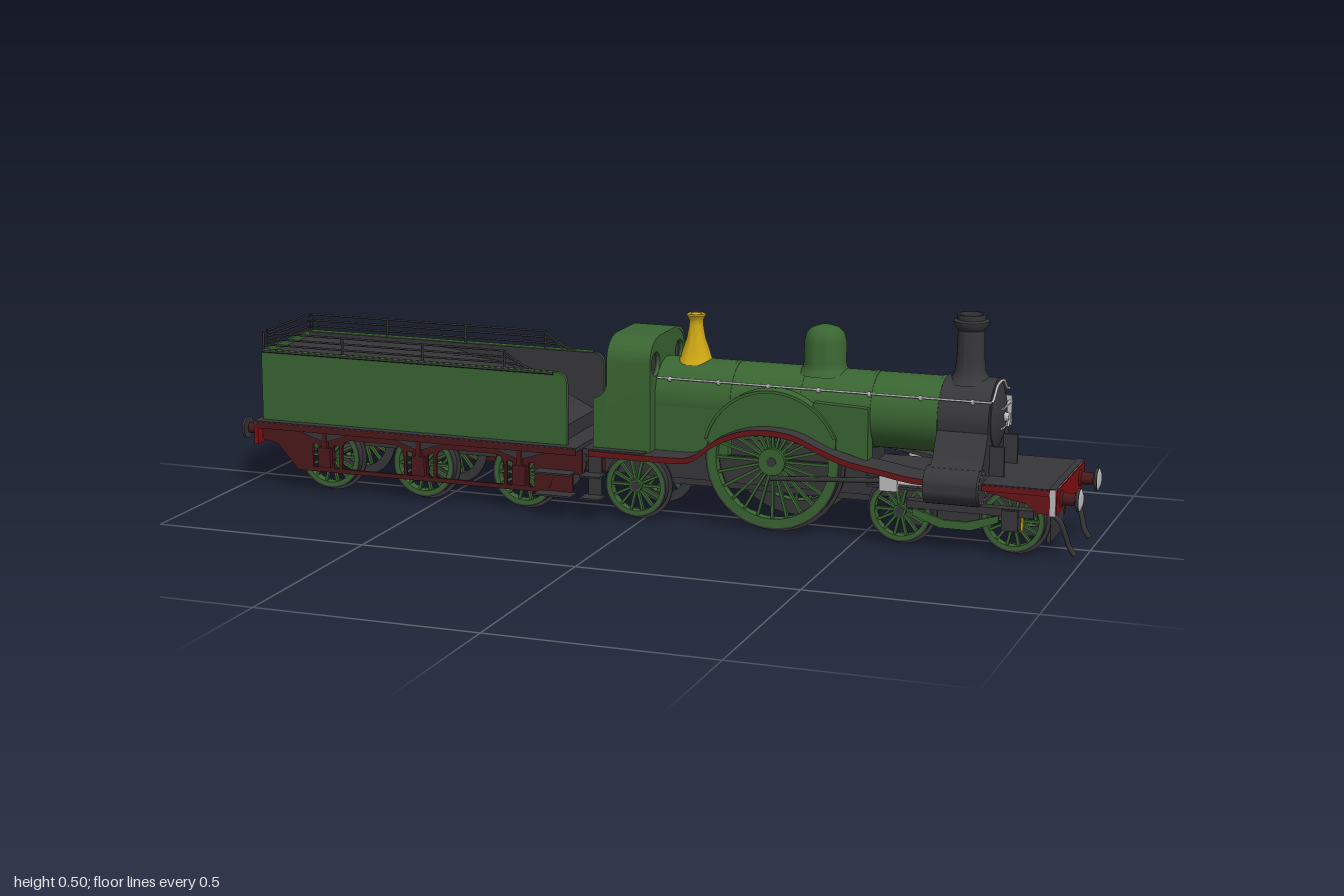
import * as THREE from 'three';
import { toCreasedNormals } from 'three/addons/utils/BufferGeometryUtils.js';

const mat = (name, color, side = THREE.FrontSide) => {
  const m = new THREE.MeshStandardMaterial({ color, side });
  m.name = name;
  return m;
};
const V2 = (x, y) => new THREE.Vector2(x, y);
const V3 = (x, y, z) => new THREE.Vector3(x, y, z);

export function createModel() {
  const green = mat('green paint', 0x3a6532), black = mat('soft black', 0x37373a, THREE.DoubleSide);
  const red = mat('beam red', 0x850d12), maroon = mat('frame maroon', 0x4b191b), lining = mat('lining red', 0x6a1519);
  const brass = mat('brass', 0xcfa815), steel = mat('bright steel', 0xbebebe);
  const root = new THREE.Group();
  root.name = 'steamLocomotiveAndTender';

  // helpers
  const add = (name, geo, m, x = 0, y = 0, z = 0, parent = root) => {
    const mesh = new THREE.Mesh(geo, m);
    mesh.name = name;
    mesh.position.set(x, y, z);
    parent.add(mesh);
    return mesh;
  };
  // box given by its limits
  const box = (name, m, x0, x1, y0, y1, z0, z1) =>
    add(name, new THREE.BoxGeometry(x1 - x0, y1 - y0, Math.abs(z1 - z0)), m, (x0 + x1) / 2, (y0 + y1) / 2, (z0 + z1) / 2);
  const both = f => [1, -1].forEach(f);
  const extrude = (shape, depth) =>
    toCreasedNormals(new THREE.ExtrudeGeometry(shape, { depth, bevelEnabled: false, curveSegments: 20 }), 0.6);
  // side profile (x, y) between two distances from the centre line, on side s
  const plate = (name, m, shape, z0, z1, s) => add(name, extrude(shape, z1 - z0), m, 0, 0, s > 0 ? z0 : -z1);
  // cross-section (z, y) swept along x
  const section = (name, m, shape, x0, x1) => add(name, extrude(shape, x1 - x0).rotateY(Math.PI / 2), m, x0);
  const lathe = (pts, n = 32) => toCreasedNormals(new THREE.LatheGeometry(pts.map(p => V2(...p)), n), 0.6);
  const latheX = (pts, n) => lathe(pts, n).rotateZ(-Math.PI / 2);
  const tube = (name, m, pts, r, straight) => {
    let path = new THREE.CatmullRomCurve3(pts.map(p => V3(...p)));
    if (straight) {
      path = new THREE.CurvePath();
      for (let i = 1; i < pts.length; i++) path.add(new THREE.LineCurve3(V3(...pts[i - 1]), V3(...pts[i])));
    }
    return add(name, new THREE.TubeGeometry(path, straight ? pts.length * 8 : 28, r, 6), m);
  };
  const poly = pts => new THREE.Shape(pts.map(p => V2(...p)));

  // spoked wheel pair on an axle
  const wheelSet = (name, x, r, spokes) => {
    const g = new THREE.Group();
    g.name = name;
    g.position.set(x, r + 0.01, 0);
    root.add(g);
    both(s => {
      const w = r * 0.13 + 0.004;
      const ring = (ro, ri, d) => {
        const sh = new THREE.Shape().absarc(0, 0, ro, 0, Math.PI * 2);
        sh.holes.push(new THREE.Path().absarc(0, 0, ri, 0, Math.PI * 2, true));
        return extrude(sh, d);
      };
      add('tyre', ring(r, r - 0.004, 0.02), black, 0, 0, s > 0 ? 0.08 : -0.1, g);
      add('rim', ring(r - 0.004, r - w, 0.02), green, 0, 0, s > 0 ? 0.08 : -0.1, g);
      add('flange', ring(r + 0.008, r - w, 0.005), black, 0, 0, s > 0 ? 0.074 : -0.079, g);
      add('hub', new THREE.CylinderGeometry(r * 0.2, r * 0.2, 0.028, 20).rotateX(Math.PI / 2), green, 0, 0, s * 0.09, g);
      for (let i = 0; i < spokes; i++) {
        const a = i / spokes * Math.PI * 2, len = r * 0.68;
        const sp = add('spoke', new THREE.BoxGeometry(len, 0.006, 0.009), green,
          Math.cos(a) * r * 0.52, Math.sin(a) * r * 0.52, s * 0.09, g);
        sp.rotation.z = a;
      }
    });
    add('axle', new THREE.CylinderGeometry(0.011, 0.011, 0.21, 12).rotateX(Math.PI / 2), black, 0, 0, 0, g);
  };
  const tenderAxles = [-0.776, -0.536, -0.285];
  tenderAxles.forEach(x => wheelSet('tenderWheels', x, 0.076, 14));
  wheelSet('trailingWheels', -0.013, 0.072, 14);
  wheelSet('drivingWheels', 0.307, 0.154, 24);
  [0.6, 0.85].forEach(x => wheelSet('bogieWheels', x, 0.07, 14));

  // boiler, domed smokebox door, chimney, dome, safety valve
  add('boiler', new THREE.CylinderGeometry(0.084, 0.084, 0.66, 48).rotateZ(Math.PI / 2), green, 0.35, 0.28);
  [0.2, 0.36, 0.52, 0.67].forEach(x =>
    add('boilerBand', new THREE.CylinderGeometry(0.0855, 0.0855, 0.008, 48).rotateZ(Math.PI / 2), green, x, 0.28));
  box('firebox', green, 0.02, 0.2, 0.165, 0.28, -0.083, 0.083);
  const smoke = new THREE.Shape();
  smoke.moveTo(-0.145, 0.165);
  smoke.lineTo(0.145, 0.165);
  smoke.lineTo(0.145, 0.195);
  smoke.bezierCurveTo(0.115, 0.2, 0.11, 0.235, 0.087, 0.262);
  smoke.absarc(0, 0.28, 0.088, -0.2, Math.PI + 0.2);
  smoke.bezierCurveTo(-0.11, 0.235, -0.115, 0.2, -0.145, 0.195);
  section('smokebox', black, smoke, 0.675, 0.788);
  add('smokeboxDoor', latheX([[0.074, 0], [0.072, 0.004], [0.05, 0.012], [0.025, 0.017], [0, 0.018]], 40), black, 0.786, 0.286);
  add('chimney', lathe([[0.055, 0], [0.042, 0.008], [0.034, 0.025], [0.031, 0.05], [0.029, 0.115], [0.038, 0.127],
    [0.039, 0.135], [0.031, 0.138], [0.031, 0.15], [0.026, 0.15], [0.022, 0.08], [0, 0.08]]), black, 0.725, 0.356);
  add('steamDome', lathe([[0.062, 0], [0.05, 0.012], [0.047, 0.025], [0.047, 0.072], [0.042, 0.09], [0.03, 0.102],
    [0.015, 0.107], [0, 0.108]]), green, 0.397, 0.352);
  add('safetyValve', lathe([[0.042, 0], [0.035, 0.012], [0.03, 0.03], [0.021, 0.055], [0.016, 0.085], [0.016, 0.096],
    [0.022, 0.107], [0.02, 0.11], [0.012, 0.11], [0, 0.1]], 24), brass, 0.095, 0.355);

  // door hinges, handle and handrails
  [0.262, 0.305].forEach(y => box('doorStrap', steel, 0.798, 0.805, y - 0.002, y + 0.002, -0.07, 0.026));
  box('hingePost', steel, 0.79, 0.803, 0.25, 0.317, -0.072, -0.068);
  add('doorHandle', latheX([[0.01, 0], [0.01, 0.012], [0, 0.015]], 16), steel, 0.802, 0.284);
  tube('doorLever', steel, [[0.814, 0.284, 0], [0.814, 0.265, 0.013]], 0.003, true);
  tube('frontHandrail', steel, [[0.793, 0.33, 0.081], [0.793, 0.336, 0.062], [0.793, 0.357, 0.032], [0.793, 0.361, 0],
    [0.793, 0.357, -0.032], [0.793, 0.336, -0.062], [0.793, 0.33, -0.081]], 0.003);
  both(s => {
    tube('boilerHandrail', steel, [[0.03, 0.33, s * 0.08], [0.793, 0.33, s * 0.08]], 0.0026, true);
    for (let i = 0; i < 7; i++) add('handrailKnob', new THREE.SphereGeometry(0.006, 8, 6), steel, 0.06 + i * 0.115, 0.328, s * 0.077);
  });

  // running plate rising over the driving wheel, with red edge
  const edge = new THREE.CatmullRomCurve3([[-0.11, 0.165], [0.08, 0.165], [0.13, 0.17], [0.19, 0.213], [0.25, 0.238], [0.31, 0.245],
    [0.37, 0.238], [0.43, 0.213], [0.49, 0.192], [0.57, 0.178], [0.64, 0.167], [0.79, 0.165], [0.945, 0.165]]
    .map(p => V3(p[0], p[1], 0))).getPoints(60).map(p => [p.x, p.y]);
  const strip = t => poly([...edge, ...edge.slice().reverse().map(p => [p[0], p[1] - t])].reverse());
  const arch = edge.filter(p => p[0] > 0.165 && p[0] < 0.455);
  const crown = [];
  for (let i = 0; i <= 24; i++) {
    const a = 0.4 + i / 24 * (Math.PI - 0.65);
    crown.push([0.307 + Math.cos(a) * 0.16, 0.168 + Math.sin(a) * 0.158]);
  }
  const crownInner = crown.map(p => [0.307 + (p[0] - 0.307) * 0.96, 0.168 + (p[1] - 0.168) * 0.96]).reverse();
  both(s => {
    plate('runningPlate', black, strip(0.008), 0.065, 0.1435, s);
    plate('runningPlateEdge', lining, strip(0.013), 0.1435, 0.1455, s);
    plate('splasher', green, poly([...arch, ...crown]), 0.068, 0.106, s);
    plate('splasherRim', green, poly([...crown, ...crownInner]), 0.068, 0.109, s);
    plate('splasherBox', green, poly([[0.4, 0.225], [0.45, 0.205], [0.525, 0.184], [0.525, 0.3], [0.4, 0.305]]), 0.06, 0.1, s);
    // cylinders, covers with bolts, slide bars and rods
    add('cylinder', latheX([[0, 0], [0.041, 0], [0.041, 0.118], [0.038, 0.122], [0, 0.122]], 28), black, 0.668, 0.155, s * 0.135);
    for (let i = 0; i < 12; i++) {
      const a = i / 12 * Math.PI * 2;
      add('coverBolt', new THREE.SphereGeometry(0.0024, 6, 4), steel, 0.79, 0.155 + Math.sin(a) * 0.033, s * (0.135 + Math.cos(a) * 0.033));
    }
    [0.134, 0.158].forEach(y => box('slideBar', black, 0.53, 0.67, y, y + 0.006, s * 0.112, s * 0.126));
    box('crosshead', steel, 0.562, 0.602, 0.13, 0.163, s * 0.11, s * 0.135);
    tube('pistonRod', steel, [[0.58, 0.149, s * 0.125], [0.67, 0.149, s * 0.125]], 0.005, true);
    tube('connectingRod', black, [[0.58, 0.15, s * 0.118], [0.307, 0.13, s * 0.112]], 0.006, true);
  });

  // locomotive frames and bogie
  box('mainFrame', black, -0.1, 0.93, 0.1, 0.163, -0.066, 0.066);
  box('ashpan', black, 0.05, 0.52, 0.085, 0.2, -0.06, 0.06);
  box('bogieFrame', black, 0.66, 0.79, 0.045, 0.1, -0.066, 0.066);
  box('frontGuard', black, 0.918, 0.926, 0.03, 0.1, -0.068, 0.068);
  both(s => {
    plate('bogieSide', green, poly([[0.63, 0.075], [0.69, 0.052], [0.76, 0.052], [0.82, 0.075], [0.82, 0.09], [0.75, 0.07], [0.7, 0.07], [0.63, 0.09]]), 0.1, 0.108, s);
    box('bogieBeam', black, 0.62, 0.9, 0.095, 0.112, s * 0.1, s * 0.125);
    box('axlebox', black, 0.832, 0.868, 0.065, 0.11, s * 0.1, s * 0.134);
    box('axleboxStrip', brass, 0.869, 0.874, 0.062, 0.112, s * 0.099, s * 0.107);
    tube('guardIron', black, [[0.92, 0.11, s * 0.09], [0.95, 0.085, s * 0.09], [0.962, 0.055, s * 0.085], [0.97, 0.028, s * 0.079], [0.982, 0.01, s * 0.077]], 0.006);
    box('frontBracket', black, 0.788, 0.82, 0.165, 0.232, s * 0.06, s * 0.068);
    plate('frontFrame', lining, poly([[0.8, 0.15], [0.89, 0.13], [0.91, 0.112], [0.939, 0.112], [0.939, 0.157], [0.8, 0.157]]), 0.136, 0.142, s);
  });
  box('frontPlatform', black, 0.78, 0.95, 0.159, 0.167, -0.1434, 0.1434);

  // buffer beams and buffers at both ends
  box('frontBeamBorder', steel, 0.938, 0.951, 0.109, 0.167, -0.1465, 0.1465);
  box('frontBeamTop', black, 0.936, 0.951, 0.167, 0.169, -0.1465, 0.1465);
  box('frontBufferBeam', red, 0.945, 0.953, 0.112, 0.165, -0.143, 0.143);
  box('rearBufferBeam', red, -0.95, -0.94, 0.111, 0.157, -0.143, 0.143);
  both(e => both(s => {
    const stock = latheX([[0.02, 0], [0.014, 0.006], [0.013, 0.032]], 20);
    const head = latheX([[0, 0], [0.025, 0], [0.025, 0.006], [0, 0.006]], 24);
    const face = latheX([[0.024, 0], [0.014, 0.004], [0, 0.005]], 24);
    [stock, head, face].forEach(g => e < 0 && g.rotateY(Math.PI));
    add('bufferStock', stock, maroon, e * 0.952, 0.138, s * 0.097);
    add('bufferHead', head, black, e * 0.988, 0.138, s * 0.097);
    add('bufferFace', face, steel, e * 0.9945, 0.138, s * 0.097);
  }));

  // cab: arched hollow shell, front with two round windows, lower side wings
  const cab = (w, top) => {
    const s = new THREE.Shape();
    s.moveTo(-w, 0.165);
    s.lineTo(w, 0.165);
    s.lineTo(w, top - 0.06);
    s.bezierCurveTo(w, top - 0.02, w - 0.03, top - 0.002, w - 0.065, top - 0.001);
    s.lineTo(-w + 0.065, top - 0.001);
    s.bezierCurveTo(-w + 0.03, top - 0.002, -w, top - 0.02, -w, top - 0.06);
    s.closePath();
    return s;
  };
  const shell = (w, top, t) => {
    const s = cab(w, top);
    s.holes.push(cab(w - t, top - t));
    return s;
  };
  section('cabShell', green, shell(0.118, 0.422, 0.005), -0.075, 0.028);
  section('cabLining', black, shell(0.113, 0.417, 0.003), -0.074, 0.02);
  const front = cab(0.116, 0.42);
  both(s => front.holes.push(new THREE.Path().absarc(s * 0.078, 0.36, 0.027, 0, Math.PI * 2, true)));
  section('cabFront', green, front, 0.02, 0.027);
  section('cabFrontLining', black, front, 0.016, 0.02);
  const wing = poly([[-0.108, 0.165], [-0.07, 0.165], [-0.07, 0.34]]);
  wing.bezierCurveTo(-0.075, 0.3, -0.085, 0.285, -0.108, 0.28);
  both(s => plate('cabSideWing', green, wing, 0.112, 0.118, s));
  box('cabFloor', black, -0.125, 0.02, 0.155, 0.168, -0.14, 0.14);
  box('firehole', black, -0.005, 0.017, 0.168, 0.33, -0.07, 0.07);

  // footsteps on engine and tender
  [[-0.128, -0.08, black], [-0.24, -0.15, maroon]].forEach(([a, b, m]) => both(s => {
    box('stepHanger', m, a + 0.008, b - 0.008, 0.053, 0.16, s * 0.112, s * 0.118);
    [0.053, 0.104].forEach(y => box('footstep', black, a, b, y, y + 0.004, s * 0.112, s * 0.155));
  }));
  box('drawbar', black, -0.16, -0.09, 0.12, 0.14, -0.03, 0.03);

  // tender body
  const side = poly([[-0.932, 0.165], [-0.17, 0.165], [-0.17, 0.305]]);
  side.quadraticCurveTo(-0.17, 0.33, -0.195, 0.333);
  side.lineTo(-0.932, 0.333);
  both(s => {
    plate('tenderSide', green, side, 0.114, 0.121, s);
    plate('tenderSideLining', black, side, 0.111, 0.114, s);
    tube('tenderLip', green, [[-0.932, 0.332, s * 0.123], [-0.2, 0.332, s * 0.123]], 0.005, true);
    tube('tenderBeading', black, [[-0.932, 0.332, s * 0.129], [-0.2, 0.332, s * 0.129]], 0.003, true);
  });
  box('tenderRear', green, -0.937, -0.93, 0.165, 0.335, -0.121, 0.121);
  box('tenderFootplate', black, -0.951, -0.14, 0.157, 0.167, -0.143, 0.143);
  box('tankTop', black, -0.93, -0.65, 0.165, 0.322, -0.112, 0.112);

  // coal: a sloping heap with gentle lumps
  const coal = new THREE.PlaneGeometry(0.46, 0.224, 26, 10).rotateX(-Math.PI / 2);
  const cp = coal.attributes.position;
  for (let i = 0; i < cp.count; i++) {
    const x = cp.getX(i), z = cp.getZ(i), t = (x + 0.23) / 0.46;
    cp.setY(i, 0.322 - 0.125 * t * t + 0.012 * Math.sin(t * Math.PI) * (Math.cos(z * 14) + 0.2 * Math.sin(x * 50 + z * 40)));
  }
  coal.computeVertexNormals();
  add('coal', coal, black, -0.42);
  box('coalPlate', black, -0.2, -0.19, 0.165, 0.2, -0.112, 0.112);

  // tender rails and posts
  [0.346, 0.36, 0.374].forEach((y, i) => {
    const f = -0.285 - i * 0.015;
    tube('tenderRail', black, [[f + 0.04, 0.333, 0.121], [f, y, 0.121], [-0.932, y, 0.121], [-0.932, y, -0.121], [f, y, -0.121], [f + 0.04, 0.333, -0.121]], 0.0025, true);
  });
  both(s => {
    for (let i = 0; i < 4; i++) tube('railPost', black, [[-0.93 + i * 0.203, 0.33, s * 0.121], [-0.93 + i * 0.203, 0.375, s * 0.121]], 0.003, true);
  });

  // tender outside frames with slots, axleboxes and springs
  const frame = poly([[-0.945, 0.157], [-0.945, 0.12], [-0.9, 0.11], [-0.85, 0.052], [-0.22, 0.052], [-0.2, 0.1], [-0.135, 0.1], [-0.135, 0.157]]);
  [[-0.735, -0.577], [-0.495, -0.326]].forEach(([a, b]) => {
    const h = new THREE.Path();
    h.moveTo(a, 0.062);
    h.lineTo(a, 0.105);
    h.quadraticCurveTo(a, 0.132, a + 0.03, 0.132);
    h.lineTo(b - 0.03, 0.132);
    h.quadraticCurveTo(b, 0.132, b, 0.105);
    h.lineTo(b, 0.062);
    frame.holes.push(h);
  });
  tenderAxles.forEach(x => both(s => frame.holes.push(poly([[x + s * 0.02, 0.062], [x + s * 0.034, 0.062], [x + s * 0.034, 0.118], [x + s * 0.02, 0.118]]))));
  both(s => {
    plate('tenderFrame', maroon, frame, 0.112, 0.119, s);
    plate('tenderValance', maroon, poly([[-0.945, 0.15], [-0.14, 0.15], [-0.14, 0.165], [-0.945, 0.165]]), 0.1425, 0.1445, s);
    tenderAxles.forEach(x => {
      box('tenderAxlebox', maroon, x - 0.016, x + 0.016, 0.066, 0.112, s * 0.112, s * 0.131);
      box('springHanger', maroon, x - 0.006, x + 0.006, 0.11, 0.15, s * 0.117, s * 0.13);
      plate('leafSpring', black, poly([[x - 0.06, 0.145], [x, 0.125], [x + 0.06, 0.145], [x + 0.06, 0.152], [x - 0.06, 0.152]]), 0.118, 0.128, s);
    });
  });
  box('tenderWell', black, -0.9, -0.16, 0.11, 0.16, -0.066, 0.066);
  return root;
}
